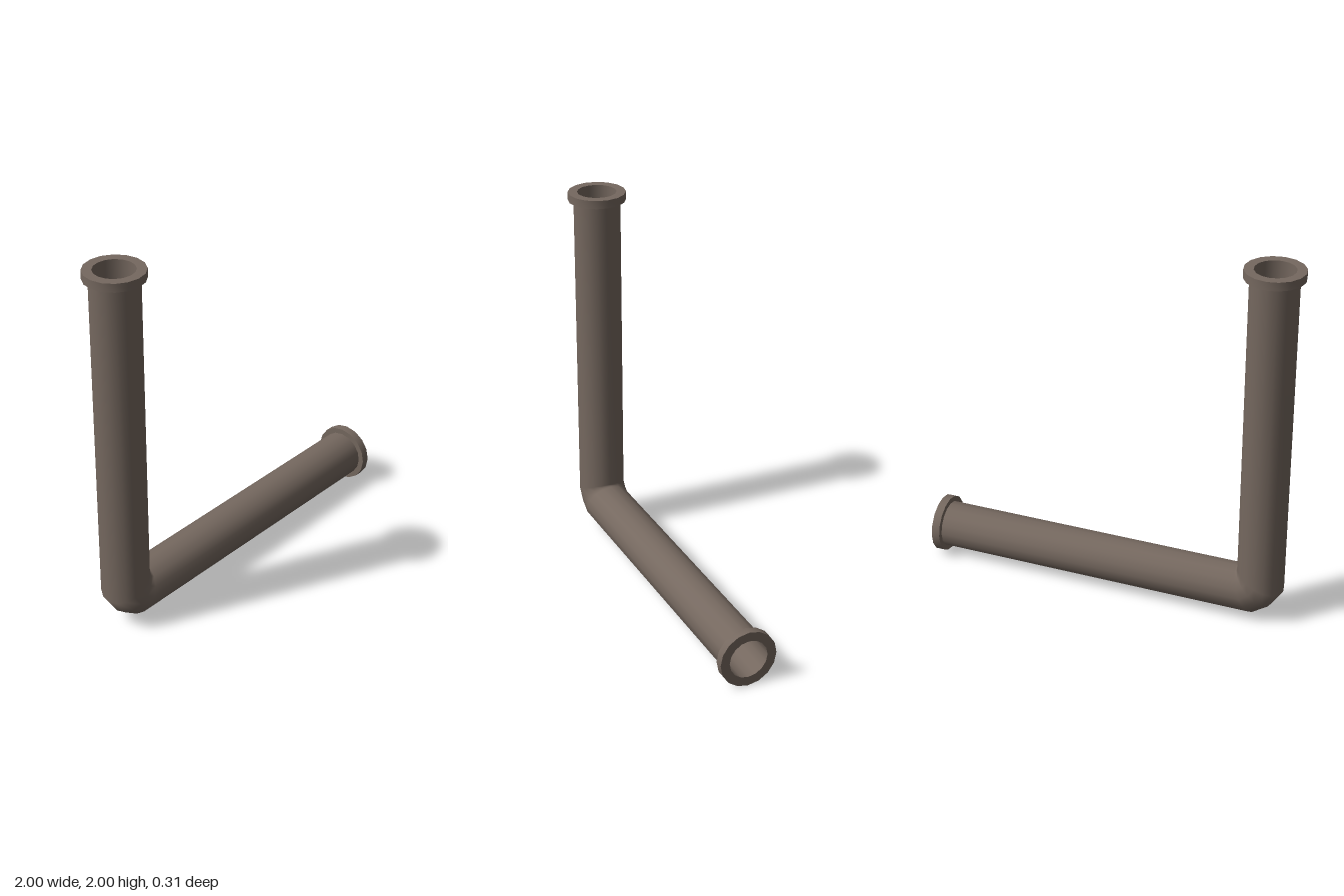
import * as THREE from 'three';
import { toCreasedNormals } from 'three/addons/utils/BufferGeometryUtils.js';

const SIDES = 16, PIPE_R = 0.125, BORE_R = 0.105, FLANGE_R = 0.155;
const FLANGE_H = 0.045, LENGTH = 1.845;
const CORNER = new THREE.Vector2(-0.845, 0.155); // where the two pipe axes meet

// Cross-sections from the top end, round the mitred elbow, to the side end.
// Each is [inner x, inner y, outer x, outer y] relative to the corner.
function sections(end) {
  const upper = [
    [PIPE_R, end, -PIPE_R, end],
    [PIPE_R, 0.135, -PIPE_R, 0.022],
  ];
  const middle = [0.129, 0.129, -0.066, -0.066];
  const lower = upper.map(([a, b, c, d]) => [b, a, d, c]).reverse();
  return [...upper, middle, ...lower];
}

// Skin the cross-sections; the bore is narrower and faces inwards.
function pipeWall(radius, end, inward) {
  const pos = [], index = [], rings = sections(end), k = radius / PIPE_R;
  for (const [ix, iy, ox, oy] of rings) {
    for (let j = 0; j < SIDES; j++) {
      const a = (j / SIDES) * Math.PI * 2, c = (Math.cos(a) * k) / 2;
      pos.push(
        CORNER.x + (ix + ox) / 2 + (ix - ox) * c,
        CORNER.y + (iy + oy) / 2 + (iy - oy) * c,
        radius * Math.sin(a));
    }
  }
  for (let i = 0; i < rings.length - 1; i++) {
    for (let j = 0; j < SIDES; j++) {
      const a = i * SIDES + j, b = i * SIDES + (j + 1) % SIDES;
      const c = a + SIDES, d = b + SIDES;
      if (inward) index.push(a, c, b, b, c, d);
      else index.push(a, b, c, b, d, c);
    }
  }
  const geo = new THREE.BufferGeometry();
  geo.setAttribute('position', new THREE.Float32BufferAttribute(pos, 3));
  geo.setIndex(index);
  geo.computeVertexNormals();
  return geo;
}

export function createModel() {
  const group = new THREE.Group();
  group.name = 'elbowPipe';
  const material = new THREE.MeshStandardMaterial({ color: 0x75685f });
  const add = (name, geo) => {
    const mesh = new THREE.Mesh(geo, material);
    mesh.name = name;
    group.add(mesh);
    return mesh;
  };

  // Pipe with its hollow inside
  add('pipe', pipeWall(PIPE_R, LENGTH - FLANGE_H, false));
  add('bore', pipeWall(BORE_R, LENGTH, true));

  // Flat ring at each open end
  const profile = [[BORE_R, 0], [FLANGE_R, 0], [FLANGE_R, FLANGE_H], [BORE_R, FLANGE_H]]
    .map(([r, y]) => new THREE.Vector2(r, y));
  const flange = toCreasedNormals(new THREE.LatheGeometry(profile, SIDES), 0.6);
  add('topFlange', flange).position.set(CORNER.x, CORNER.y + LENGTH - FLANGE_H, 0);
  const side = add('sideFlange', flange);
  side.position.set(CORNER.x + LENGTH - FLANGE_H, CORNER.y, 0);
  side.rotation.z = -Math.PI / 2;

  return group;
}
